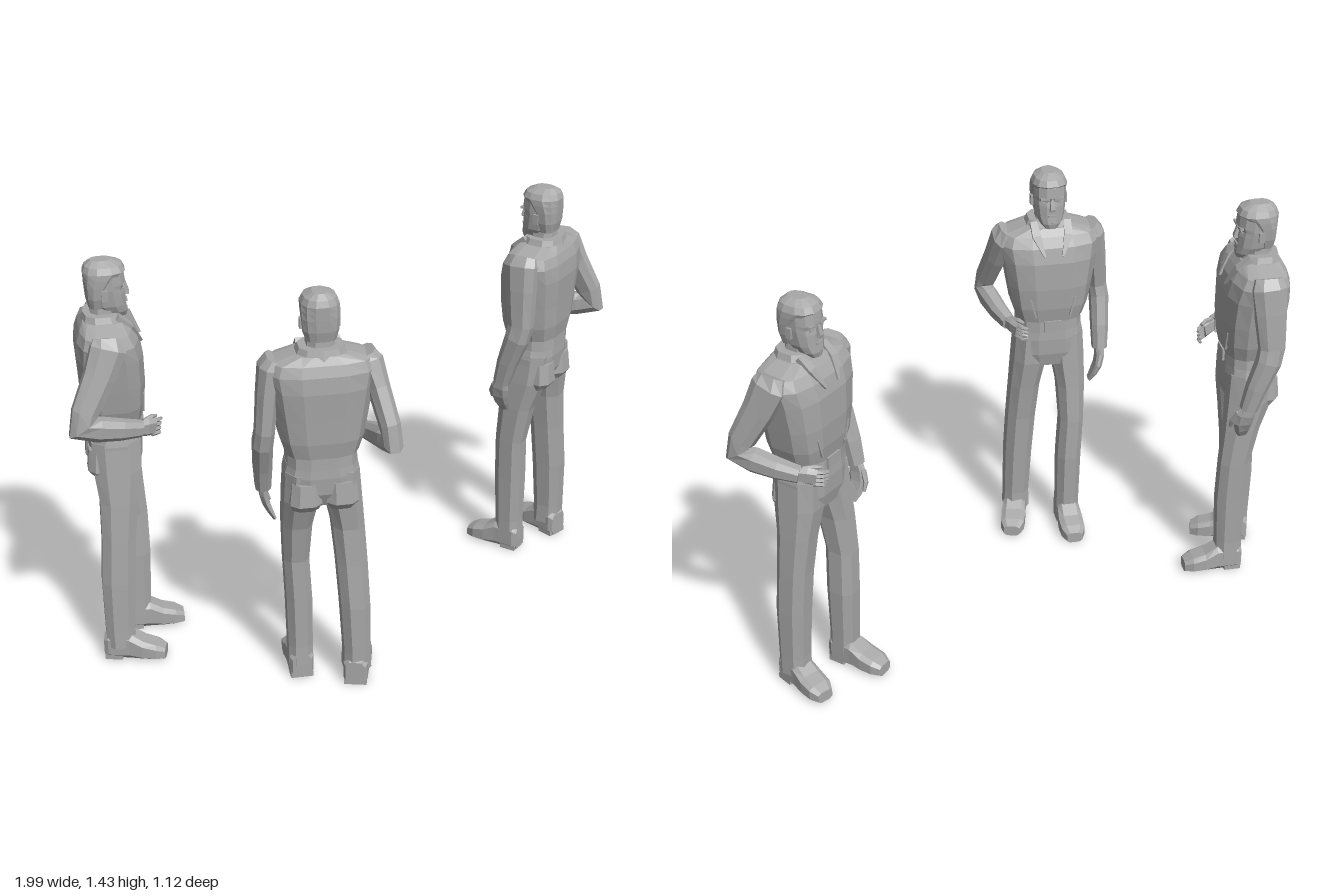
import * as THREE from 'three';

const grey = new THREE.MeshStandardMaterial({ color: 0xa8a8a8 });
grey.name = 'plain grey';
const UP = [0, 1, 0], FWD = [0, 0, 1];

function faceted(name, geometry) {
  const g = geometry.index ? geometry.toNonIndexed() : geometry;
  g.computeVertexNormals();
  const mesh = new THREE.Mesh(g, grey);
  mesh.name = name;
  return mesh;
}

// Faceted loft: rows of [x, y, z, sideRadius, depthRadius]; sections follow the path unless dir is fixed.
function loft(name, rows, { n = 8, pow = 0.8, dir = null } = {}) {
  const centres = rows.map(r => new THREE.Vector3(r[0], r[1], r[2]));
  const rings = rows.map((r, i) => {
    const t = dir ? new THREE.Vector3(...dir)
      : centres[Math.min(i + 1, rows.length - 1)].clone().sub(centres[Math.max(i - 1, 0)]).normalize();
    const u = new THREE.Vector3(1, 0, 0).addScaledVector(t, -t.x).normalize();
    const v = u.clone().cross(t);
    const bend = k => Math.sign(k) * Math.abs(k) ** pow;
    return Array.from({ length: n }, (_, j) => {
      const a = (j + 0.5) / n * Math.PI * 2;
      return centres[i].clone().addScaledVector(u, bend(Math.cos(a)) * r[3]).addScaledVector(v, bend(Math.sin(a)) * r[4]);
    });
  });
  const pts = [];
  const last = rings.length - 1;
  for (let j = 0; j < n; j++) {
    const k = (j + 1) % n;
    for (let i = 0; i < last; i++) {
      const a = rings[i][j], b = rings[i][k], c = rings[i + 1][k], d = rings[i + 1][j];
      pts.push(a, d, c, a, c, b);
    }
    pts.push(centres[0], rings[0][j], rings[0][k], centres[last], rings[last][k], rings[last][j]);
  }
  return faceted(name, new THREE.BufferGeometry().setFromPoints(pts));
}

function box(name, w, h, d, x, y, z, tilt = 0) {
  const mesh = faceted(name, new THREE.BoxGeometry(w, h, d));
  mesh.position.set(x, y, z);
  mesh.rotation.z = tilt;
  return mesh;
}

function makeHead() {
  const head = new THREE.Group();
  head.name = 'head';
  head.add(
    loft('neck', [[0, 1.18, -0.012, 0.055, 0.05], [0, 1.3, -0.008, 0.044, 0.044]], { dir: UP }),
    loft('face', [
      [0, 1.237, 0.04, 0.024, 0.026], [0, 1.255, 0.024, 0.04, 0.046], [0, 1.28, 0.01, 0.051, 0.057],
      [0, 1.32, 0.003, 0.056, 0.062], [0, 1.338, 0.001, 0.058, 0.06], [0, 1.352, 0, 0.058, 0.068],
      [0, 1.39, -0.002, 0.058, 0.066], [0, 1.42, -0.004, 0.04, 0.045]], { n: 12, dir: UP }),
    loft('hair', [
      [0, 1.275, -0.03, 0.048, 0.028], [0, 1.31, -0.029, 0.058, 0.037], [0, 1.35, -0.023, 0.062, 0.046],
      [0, 1.375, -0.012, 0.063, 0.058], [0, 1.395, -0.001, 0.062, 0.07], [0, 1.415, -0.002, 0.052, 0.061],
      [0, 1.431, -0.008, 0.024, 0.034]], { n: 12, dir: UP }),
    loft('nose', [[0, 1.306, 0.062, 0.013, 0.018], [0, 1.315, 0.064, 0.011, 0.018], [0, 1.35, 0.06, 0.006, 0.01]], { n: 4, dir: UP }),
    box('mouth', 0.03, 0.006, 0.008, 0, 1.287, 0.066),
    loft('chin', [[0, 1.243, 0.056, 0.016, 0.012], [0, 1.263, 0.058, 0.016, 0.012]], { n: 6, dir: UP }));
  for (const s of [-1, 1]) {
    head.add(
      box('brow', 0.032, 0.008, 0.012, s * 0.025, 1.349, 0.061, s * 0.12),
      box('eye', 0.018, 0.006, 0.006, s * 0.024, 1.335, 0.057),
      box('ear', 0.009, 0.036, 0.02, s * 0.06, 1.325, -0.004));
  }
  return head;
}

function makeJacket() {
  const jacket = new THREE.Group();
  jacket.name = 'jacket';
  jacket.add(
    loft('jacketBody', [
      [0, 0.885, 0, 0.12, 0.094], [0, 0.94, 0.001, 0.138, 0.104], [0, 1.02, 0.002, 0.152, 0.109],
      [0, 1.12, -0.002, 0.168, 0.111], [0, 1.175, -0.006, 0.178, 0.102], [0, 1.21, -0.01, 0.165, 0.086],
      [0, 1.235, -0.012, 0.085, 0.07]], { n: 12, pow: 0.65, dir: UP }),
    loft('collar', [[0, 1.215, -0.012, 0.092, 0.078], [0, 1.255, -0.016, 0.074, 0.062]], { n: 10, dir: UP }));
  for (const s of [-1, 1]) {
    jacket.add(
      loft('lapel', [[s * 0.06, 1.25, 0.03, 0.016, 0.012], [s * 0.056, 1.215, 0.073, 0.02, 0.01], [s * 0.032, 1.15, 0.107, 0.004, 0.005]], { n: 4 }),
      box('pocketSlit', 0.006, 0.075, 0.008, s * 0.07, 0.945, 0.098, s * -0.25));
  }
  return jacket;
}

function makeArms() {
  const arms = new THREE.Group();
  arms.name = 'arms';
  arms.add(
    loft('leftSleeve', [
      [0.145, 1.215, -0.008, 0.03, 0.05], [0.158, 1.185, -0.008, 0.042, 0.062], [0.172, 1.1, -0.015, 0.036, 0.056],
      [0.184, 0.97, -0.025, 0.033, 0.046], [0.19, 0.92, -0.015, 0.034, 0.045], [0.187, 0.82, 0.02, 0.032, 0.038],
      [0.184, 0.735, 0.042, 0.027, 0.031]]),
    loft('leftHand', [
      [0.184, 0.75, 0.04, 0.017, 0.024], [0.183, 0.71, 0.05, 0.016, 0.034], [0.176, 0.675, 0.054, 0.014, 0.034],
      [0.162, 0.64, 0.05, 0.011, 0.028], [0.147, 0.61, 0.044, 0.006, 0.018]], { n: 6 }),
    loft('leftThumb', [[0.18, 0.72, 0.075, 0.009, 0.01], [0.168, 0.685, 0.092, 0.008, 0.009], [0.156, 0.655, 0.092, 0.005, 0.006]], { n: 5 }),
    loft('rightSleeve', [
      [-0.145, 1.215, -0.008, 0.03, 0.05], [-0.158, 1.185, -0.01, 0.042, 0.062], [-0.18, 1.1, -0.045, 0.036, 0.054],
      [-0.206, 0.99, -0.1, 0.034, 0.045], [-0.213, 0.94, -0.112, 0.033, 0.052], [-0.203, 0.925, -0.06, 0.034, 0.042],
      [-0.182, 0.907, 0.015, 0.031, 0.036], [-0.157, 0.892, 0.08, 0.025, 0.028]]),
    loft('rightHand', [[-0.165, 0.896, 0.06, 0.017, 0.022], [-0.146, 0.888, 0.1, 0.016, 0.032], [-0.13, 0.882, 0.125, 0.014, 0.032]], { n: 6 }),
    loft('rightThumb', [[-0.15, 0.912, 0.09, 0.009, 0.01], [-0.128, 0.918, 0.12, 0.008, 0.008], [-0.112, 0.912, 0.135, 0.005, 0.005]], { n: 5 }));
  // Curled fingers of the raised hand
  for (let i = 0; i < 4; i++) {
    const y = 0.903 - i * 0.015;
    arms.add(loft('finger', [[-0.137, y, 0.115, 0.008, 0.008], [-0.118, y - 0.004, 0.142, 0.008, 0.007], [-0.1, y - 0.008, 0.152 - i * 0.004, 0.005, 0.005]], { n: 5 }));
  }
  return arms;
}

function makeShoe(name, x, z, turn) {
  const shoe = new THREE.Group();
  shoe.name = name;
  shoe.add(
    loft('shoeUpper', [
      [0, 0.045, 0, 0.034, 0.045], [0, 0.05, 0.015, 0.043, 0.05], [0, 0.05, 0.09, 0.043, 0.05],
      [0, 0.036, 0.135, 0.047, 0.036], [0, 0.029, 0.18, 0.045, 0.029], [0, 0.021, 0.21, 0.03, 0.021]], { pow: 0.55, dir: FWD }),
    box('heel', 0.076, 0.02, 0.06, 0, 0.01, 0.033));
  shoe.position.set(x, 0, z);
  shoe.rotation.y = turn;
  return shoe;
}

function makeTrousers() {
  const legs = new THREE.Group();
  legs.name = 'trousers';
  legs.add(
    loft('hips', [
      [0, 0.7, 0.008, 0.1, 0.07], [0, 0.75, 0.002, 0.125, 0.088], [0, 0.81, 0.001, 0.125, 0.092],
      [0, 0.845, 0.001, 0.118, 0.09]], { n: 12, pow: 0.7, dir: UP }),
    loft('belt', [[0, 0.843, 0, 0.117, 0.093], [0, 0.892, 0, 0.115, 0.092]], { n: 12, pow: 0.7, dir: UP }),
    box('buckle', 0.062, 0.042, 0.009, 0, 0.868, 0.094),
    loft('leftLeg', [
      [0.07, 0.05, 0.045, 0.045, 0.05], [0.07, 0.12, 0.048, 0.044, 0.05], [0.072, 0.3, 0.05, 0.046, 0.056],
      [0.08, 0.46, 0.048, 0.045, 0.056], [0.078, 0.6, 0.03, 0.052, 0.065], [0.068, 0.71, 0.008, 0.062, 0.082],
      [0.064, 0.82, 0, 0.06, 0.085]], { dir: UP }),
    loft('rightLeg', [
      [-0.112, 0.05, -0.025, 0.05, 0.053], [-0.112, 0.12, -0.026, 0.048, 0.053], [-0.106, 0.3, -0.022, 0.052, 0.059],
      [-0.097, 0.46, -0.012, 0.054, 0.06], [-0.086, 0.6, -0.002, 0.056, 0.068], [-0.07, 0.71, 0, 0.063, 0.084],
      [-0.064, 0.82, 0, 0.06, 0.086]], { dir: UP }),
    makeShoe('leftShoe', 0.07, 0, 0),
    makeShoe('rightShoe', -0.098, -0.078, -0.27));
  // Seat, bulging at the back above the thighs
  for (const s of [-1, 1]) {
    legs.add(loft('seat', [[s * 0.06, 0.69, -0.045, 0.045, 0.035], [s * 0.06, 0.715, -0.05, 0.056, 0.05], [s * 0.057, 0.79, -0.045, 0.05, 0.048]], { n: 8, dir: UP }));
  }
  return legs;
}

function makeMan(name, x, z, turn) {
  const man = new THREE.Group();
  man.name = name;
  man.add(makeHead(), makeJacket(), makeArms(), makeTrousers());
  man.position.set(x, 0, z);
  man.rotation.y = turn;
  return man;
}

export function createModel() {
  const group = new THREE.Group();
  group.name = 'three standing men';
  group.add(
    makeMan('manFacingLeft', -0.835, 0.02, Math.PI / 2),
    makeMan('manFacingBack', -0.2, 0.395, Math.PI),
    makeMan('manTurnedAside', 0.73, -0.36, Math.PI + 0.83));
  return group;
}
